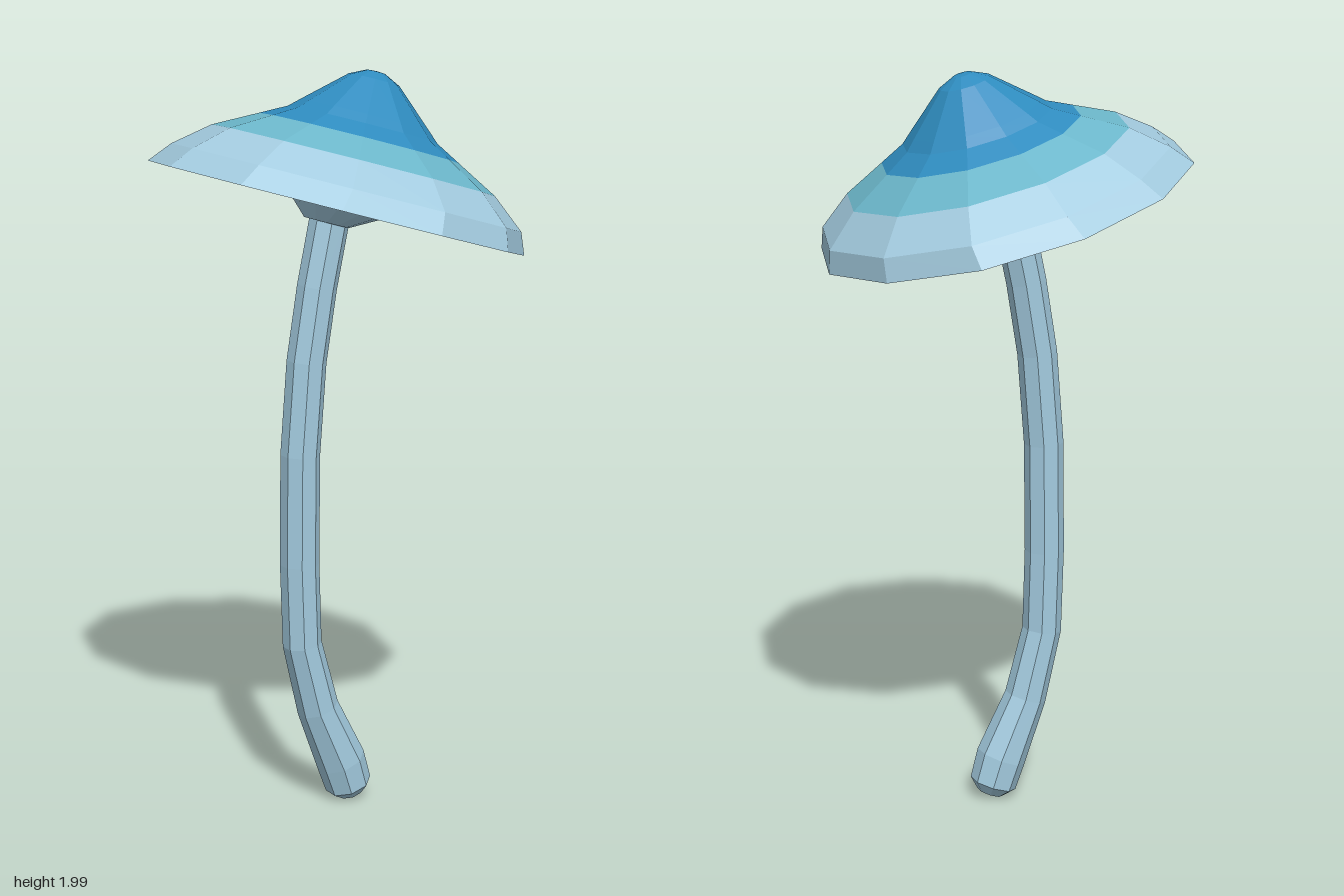
import * as THREE from 'three';

const mat = (name, color) => {
  const m = new THREE.MeshStandardMaterial({ color, flatShading: true });
  m.name = name;
  return m;
};

// Lathed 12-sided band; rings lean slightly sideways away from the rim plane
function band(name, material, profile) {
  const geo = new THREE.LatheGeometry(profile.map(([r, h]) => new THREE.Vector2(r, h)), 12);
  const p = geo.attributes.position;
  for (let i = 0; i < p.count; i++) {
    const h = p.getY(i);
    p.setX(i, p.getX(i) + (h > 0.03 ? 0.015 : h < -0.01 ? -0.02 : 0));
  }
  const mesh = new THREE.Mesh(geo, material);
  mesh.name = name;
  return mesh;
}

// Closed tube through rings [x, y, radius], each square to the path
function stemGeometry(rings, sides) {
  const pos = [], idx = [];
  const half = Math.PI / sides;
  rings.forEach(([x, y, r], i) => {
    const a = rings[Math.max(i - 1, 0)], b = rings[Math.min(i + 1, rings.length - 1)];
    const t = new THREE.Vector2(b[0] - a[0], b[1] - a[1]).normalize();
    for (let k = 0; k < sides; k++) {
      const ang = half + 2 * half * k;
      const u = Math.cos(ang) * r;
      pos.push(x + t.y * u, y - t.x * u, Math.sin(ang) * r);
    }
  });
  const n = rings.length;
  for (let i = 0; i < n - 1; i++) {
    for (let k = 0; k < sides; k++) {
      const a = i * sides + k, b = i * sides + (k + 1) % sides;
      idx.push(a, a + sides, b, b, a + sides, b + sides);
    }
  }
  // end faces
  const top = (n - 1) * sides;
  for (let k = 1; k < sides - 1; k++) {
    idx.push(0, k, k + 1, top, top + k + 1, top + k);
  }
  const geo = new THREE.BufferGeometry();
  geo.setAttribute('position', new THREE.Float32BufferAttribute(pos, 3));
  geo.setIndex(idx);
  geo.computeVertexNormals();
  return geo;
}

export function createModel() {
  const pale = mat('paleBlue', 0xa3cbdf);
  const teal = mat('teal', 0x6cb7cb);
  const blue = mat('deepBlue', 0x2f8cbf);
  const model = new THREE.Group();
  model.name = 'mushroom';

  // Curved stem with a swollen foot
  const stem = new THREE.Mesh(stemGeometry([
    [0.045, 0.019, 0.036], [0.036, 0.045, 0.064], [0.012, 0.12, 0.068],
    [-0.06, 0.285, 0.057], [-0.108, 0.475, 0.053], [-0.115, 0.7, 0.053],
    [-0.112, 1.0, 0.053], [-0.092, 1.25, 0.053], [-0.06, 1.445, 0.053],
    [-0.02, 1.63, 0.053], [-0.01, 1.67, 0.053],
  ], 8), pale);
  stem.name = 'stem';
  model.add(stem);

  // Tilted cap in three colour bands, with a collar below
  const cap = new THREE.Group();
  cap.name = 'cap';
  cap.position.y = 1.648;
  cap.rotation.z = -THREE.MathUtils.degToRad(16.5);
  cap.add(
    band('capUnderside', pale, [[0, -0.042], [0.06, -0.042], [0.12, 0], [0.2, 0.012], [0.36, 0.014], [0.505, 0]]),
    band('capRim', pale, [[0.505, 0], [0.47, 0.058], [0.38, 0.131]]),
    band('capMiddle', teal, [[0.38, 0.131], [0.268, 0.19]]),
    band('capCrown', blue, [[0.268, 0.19], [0.2, 0.226], [0.174, 0.25], [0.068, 0.345], [0.025, 0.366], [0, 0.368]]),
  );
  model.add(cap);
  return model;
}
